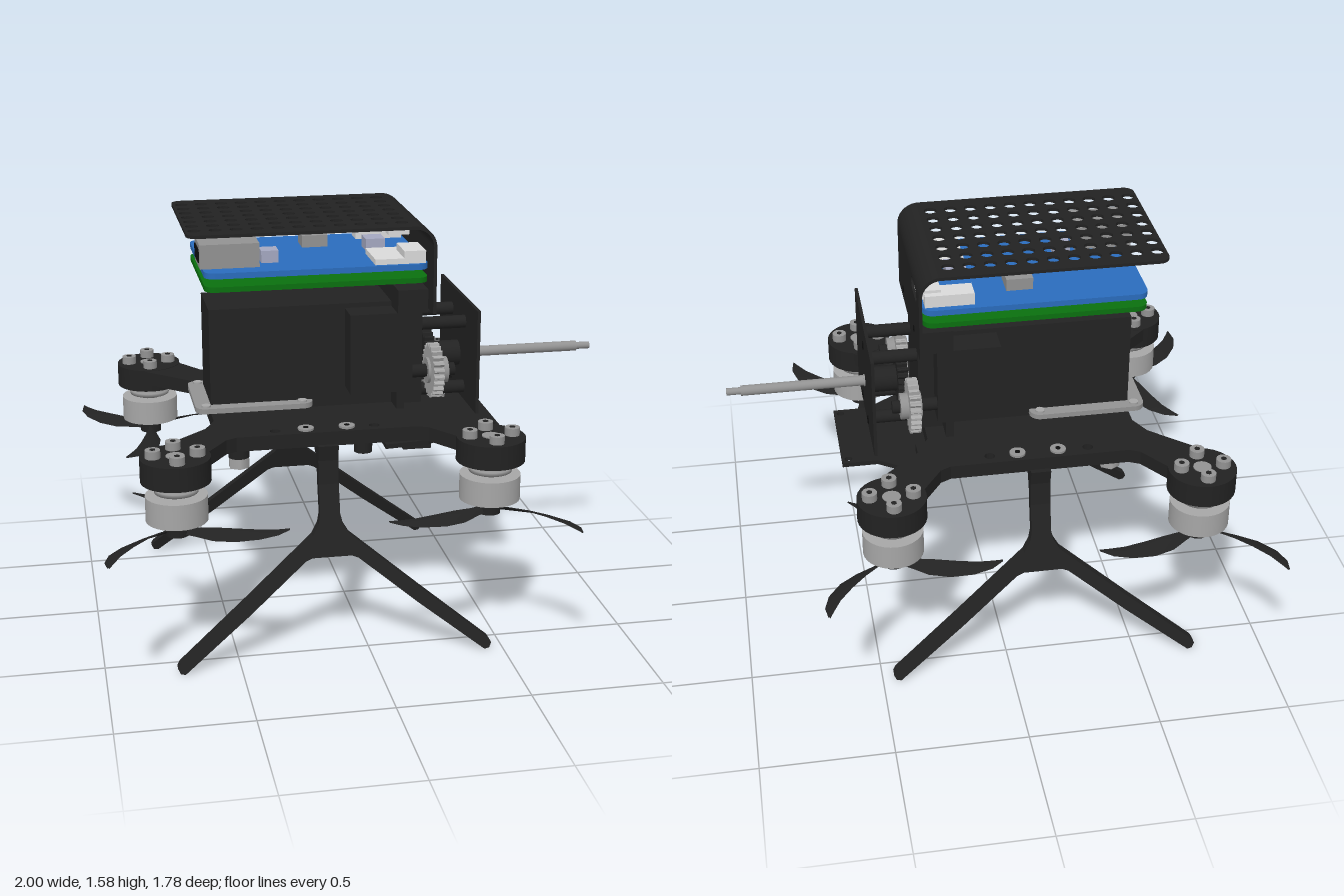
import * as THREE from 'three';

const CX = -0.14; // centre of the airframe along x

export function createModel() {
  const root = new THREE.Group();
  const mat = (name, color, side = THREE.FrontSide) => {
    const m = new THREE.MeshStandardMaterial({ color, side });
    m.name = name;
    return m;
  };
  const dark = mat('charcoal', 0x222222, THREE.DoubleSide);
  const black = mat('black', 0x0d0d0d);
  const grey = mat('grey', 0x929292);
  const silver = mat('silver', 0xa6a6a6);
  const white = mat('white', 0xdadada);
  const lavender = mat('pale violet grey', 0xa4a8c0);
  const blue = mat('blue', 0x2a6cbd);
  const green = mat('green', 0x0a700f);

  const add = (name, geo, m, x = 0, y = 0, z = 0, parent = root) => {
    const mesh = new THREE.Mesh(geo, m);
    mesh.name = name;
    mesh.position.set(x, y, z);
    parent.add(mesh);
    return mesh;
  };
  // box given by its limits on each axis
  const box = (name, m, x0, x1, y0, y1, z0, z1) =>
    add(name, new THREE.BoxGeometry(x1 - x0, y1 - y0, z1 - z0), m, (x0 + x1) / 2, (y0 + y1) / 2, (z0 + z1) / 2);
  const cylY = (name, m, r, y0, y1, x, z, parent = root, n = 24) =>
    add(name, new THREE.CylinderGeometry(r, r, y1 - y0, n), m, x, (y0 + y1) / 2, z, parent);
  const cylX = (name, m, r, x0, x1, y, z, n = 20) =>
    add(name, new THREE.CylinderGeometry(r, r, x1 - x0, n).rotateZ(Math.PI / 2), m, (x0 + x1) / 2, y, z);
  const poly = (pts) => new THREE.Shape(pts.map(([a, b]) => new THREE.Vector2(a, b)));
  const hole = (x, y, r) => new THREE.Path().absarc(x, y, r, 0, Math.PI * 2, true);
  const extrude = (shape, depth) => new THREE.ExtrudeGeometry(shape, { depth, bevelEnabled: false, curveSegments: 8 });
  // horizontal plate from an x,z outline
  const slab = (name, m, shape, top, t) => add(name, extrude(shape, t).rotateX(Math.PI / 2), m, 0, top, 0);
  const roundRect = (x0, x1, y0, y1, r) => {
    const s = new THREE.Shape();
    s.absarc(x1 - r, y1 - r, r, 0, Math.PI / 2);
    s.absarc(x0 + r, y1 - r, r, Math.PI / 2, Math.PI);
    s.absarc(x0 + r, y0 + r, r, Math.PI, Math.PI * 1.5);
    s.absarc(x1 - r, y0 + r, r, Math.PI * 1.5, Math.PI * 2);
    return s;
  };

  // airframe: one quarter outline mirrored into an X-shaped plate
  const q = [[0.34, 0.42], [0.38, 0.44], [0.47, 0.57], [0.58, 0.58], [0.66, 0.5], [0.44, 0.3], [0.4, 0.22]];
  const rev = [...q].reverse();
  const outline = [
    ...q, ...rev.map(([a, b]) => [a, -b]),
    ...q.map(([a, b]) => [-a, -b]), ...rev.map(([a, b]) => [-a, b]),
  ].map(([a, b]) => [a + CX, b]);
  const frame = poly(outline);
  for (const s of [-1, 1]) for (const x of [-0.33, 0.045]) frame.holes.push(hole(x, s * 0.375, 0.02));
  slab('framePlate', dark, frame, 0.85, 0.055);
  for (const s of [-1, 1]) for (const x of [-0.215, -0.06]) {
    cylY('frameScrew', grey, 0.03, 0.85, 0.858, x, s * 0.375);
    cylY('frameScrewSocket', black, 0.01, 0.858, 0.86, x, s * 0.375);
  }

  // propeller blade: swept, twisted strip of cross-sections
  const blade = (tip, sx, sz) => {
    const rows = [[0.02, -20, 0.03, 0.7], [0.08, -19, 0.04, 0.6], [0.15, -17, 0.066, 0.45], [0.23, -13, 0.074, 0.32],
      [0.31, -8, 0.062, 0.22], [0.37, -3, 0.042, 0.14], [0.405, 1, 0.008, 0.1]];
    const pos = [], idx = [];
    rows.forEach(([r, off, w, twist], i) => {
      const a = THREE.MathUtils.degToRad(tip + off);
      for (const [k, lift] of [[-0.5, 0], [0, 0.008], [0.5, 0]]) {
        const u = k * w * Math.cos(twist);
        pos.push(sx * (r * Math.cos(a) - u * Math.sin(a)), k * w * Math.sin(twist) + lift * (1 - r),
          sz * (r * Math.sin(a) + u * Math.cos(a)));
      }
      if (i) for (const j of [0, 1]) {
        const b = i * 3 + j, c = b - 3;
        idx.push(c, b, c + 1, c + 1, b, b + 1);
      }
    });
    const g = new THREE.BufferGeometry();
    g.setAttribute('position', new THREE.Float32BufferAttribute(pos, 3));
    g.setIndex(idx);
    g.computeVertexNormals();
    return g;
  };

  // four motors hanging under the arm ends
  for (const sx of [-1, 1]) for (const sz of [-1, 1]) {
    const g = new THREE.Group();
    g.name = 'motorUnit';
    g.position.set(CX + sx * 0.58, 0, sz * 0.58);
    root.add(g);
    cylY('motorMount', dark, 0.128, 0.762, 0.852, 0, 0, g, 32);
    cylY('mountCap', grey, 0.034, 0.85, 0.856, 0, 0, g);
    for (let i = 0; i < 4; i++) {
      const a = i * Math.PI / 2, x = 0.08 * Math.cos(a), z = 0.08 * Math.sin(a);
      cylY('mountBolt', grey, 0.028, 0.85, 0.882, x, z, g, 16);
      cylY('boltSocket', dark, 0.011, 0.882, 0.884, x, z, g, 6);
    }
    const prof = [[0, 0.765], [0.06, 0.765], [0.06, 0.735], [0.08, 0.735], [0.08, 0.72], [0.05, 0.72], [0.05, 0.7], [0, 0.7]];
    add('motorBase', new THREE.LatheGeometry(prof.reverse().map(([a, b]) => new THREE.Vector2(a, b)), 24), grey, 0, 0, 0, g);
    cylY('motorBell', silver, 0.113, 0.612, 0.708, 0, 0, g, 32);
    cylY('propellerHub', dark, 0.042, 0.553, 0.613, 0, 0, g);
    for (const tip of [-132, -12, 108]) add('propellerBlade', blade(tip, -sx, -sz), dark, 0, 0.572, 0, g);
  }

  // landing legs: forked flat shape leaned outwards, with a curved bracket on top
  const half = [[0.038, 0.65], [0.038, 0.54], [0.046, 0.505], [0.07, 0.465], [0.33, 0.25], [0.587, 0.042], [0.597, 0.025],
    [0.588, 0.006], [0.57, 0.002], [0.32, 0.195], [0.1, 0.375], [0.075, 0.385]];
  const forkPts = [...half, ...[...half].reverse().map(([a, b]) => [-a, b])];
  const bracket = [[0.44, 0.8], [0.428, 0.74], [0.437, 0.64], [0.402, 0.64], [0.393, 0.7], [0.37, 0.75], [0.33, 0.775], [0.33, 0.8]];
  for (const s of [-1, 1]) {
    const fork = extrude(poly(forkPts), 0.035);
    const p = fork.attributes.position;
    for (let i = 0; i < p.count; i++) p.setZ(i, s * (p.getZ(i) - 0.0175 + 0.594 - 0.27 * p.getY(i)));
    if (s < 0) { // restore the facing of mirrored triangles
      for (let i = 0; i < p.count; i += 3) {
        const a = new THREE.Vector3().fromBufferAttribute(p, i), b = new THREE.Vector3().fromBufferAttribute(p, i + 1);
        p.setXYZ(i, b.x, b.y, b.z);
        p.setXYZ(i + 1, a.x, a.y, a.z);
      }
    }
    fork.computeVertexNormals();
    add('landingLeg', fork, dark, CX, 0, 0);
    const br = extrude(poly(bracket.map(([z, y]) => [-s * z, y])), 0.076).rotateY(Math.PI / 2);
    add('legBracket', br, dark, CX - 0.038, 0, 0);
  }

  // battery, its tray and the side servos
  box('battery', dark, -0.54, 0.2, 0.87, 1.258, -0.13, 0.13);
  const tray = roundRect(-0.6, -0.15, -0.18, 0.18, 0.04);
  slab('batteryTray', grey, tray, 0.885, 0.02);
  box('traySpacer', dark, -0.5, 0.24, 0.845, 0.87, -0.12, 0.12);
  for (const s of [-1, 1]) {
    for (const x of [-0.56, -0.19]) cylY('trayScrew', silver, 0.018, 0.885, 0.892, x, s * 0.15, root, 12);
    const z = s * 0.185;
    box('servo', dark, -0.02, 0.22, 0.93, 1.24, z - 0.055, z + 0.055);
    box('servoFlange', dark, 0.16, 0.19, 0.86, 1.26, z - 0.05, z + 0.05);
  }
  box('mountBlock', dark, 0.18, 0.28, 0.85, 1.25, -0.14, 0.14);
  box('coverBracket', dark, 0.16, 0.275, 1.24, 1.33, -0.25, 0.25);

  // gear train and output shaft
  const gear = (z, r, x0, m) => {
    const pts = [];
    for (let i = 0; i < 96; i++) {
      const a = i / 96 * Math.PI * 2, rr = i % 4 < 2 ? r : r * 0.87;
      pts.push([rr * Math.cos(a), rr * Math.sin(a)]);
    }
    add('gear', extrude(poly(pts), 0.04).rotateY(Math.PI / 2), m, x0, 1.0, z);
  };
  for (const s of [-1, 1]) {
    gear(s * 0.21, 0.105, 0.29, silver);
    cylX('gearHub', grey, 0.05, 0.28, 0.36, 1, s * 0.21);
    cylX('gearAxle', dark, 0.025, 0.22, 0.39, 1, s * 0.21);
    cylX('plateSpacer', dark, 0.025, 0.27, 0.46, 1.155, s * 0.1);
    cylX('lowerSpacer', dark, 0.025, 0.27, 0.46, 0.89, s * 0.095);
  }
  gear(0, 0.1, 0.31, dark);
  cylX('bearing', dark, 0.05, 0.35, 0.46, 1, 0);
  cylX('bearingFace', grey, 0.024, 0.46, 0.475, 1, 0);
  cylX('outputShaft', grey, 0.02, 0.3, 0.945, 1, 0);
  cylX('shaftTip', grey, 0.014, 0.945, 1, 1, 0);
  box('endPlate', dark, 0.458, 0.47, 0.84, 1.245, -0.29, 0.29);
  for (const [z, y] of [[0, 1.155], [0.095, 0.88], [-0.095, 0.88]]) cylX('endPlateScrew', black, 0.016, 0.47, 0.474, y, z);

  // lower nose plate
  const nose = poly([[0.1, 0.33], [0.27, 0.31], [0.45, 0.19], [0.585, 0.19], [0.585, -0.19], [0.45, -0.19], [0.27, -0.31], [0.1, -0.33]]);
  for (const s of [-1, 1]) nose.holes.push(hole(0.56, s * 0.163, 0.015));
  slab('nosePlate', dark, nose, 0.752, 0.018);
  for (const s of [-1, 1]) box('noseStandoff', dark, 0.19, 0.3, 0.69, 0.8, s * 0.2 - 0.03, s * 0.2 + 0.03);

  // electronics slung under the frame
  slab('lowerTray', dark, roundRect(-0.35, 0.07, -0.23, 0.23, 0.04), 0.765, 0.025);
  box('lowerStrip', grey, -0.33, 0.05, 0.766, 0.78, -0.2, 0.2);
  box('controlStack', dark, -0.25, -0.02, 0.7, 0.8, -0.16, 0.16);
  box('cameraBody', dark, -0.48, -0.36, 0.69, 0.8, -0.1, 0.1);
  cylY('cameraLens', black, 0.055, 0.66, 0.69, -0.42, 0);
  for (const s of [-1, 1]) {
    cylY('standoff', dark, 0.04, 0.71, 0.8, -0.45, s * 0.24);
    cylY('standoffNut', silver, 0.042, 0.67, 0.71, -0.45, s * 0.24, root, 6);
    cylY('innerStandoff', dark, 0.035, 0.7, 0.8, 0.03, s * 0.24);
  }

  // stacked circuit boards and their components
  slab('upperBoard', blue, roundRect(-0.565, 0.272, -0.275, 0.275, 0.04), 1.434, 0.022);
  slab('lowerBoard', green, roundRect(-0.565, 0.272, -0.275, 0.275, 0.04), 1.382, 0.02);
  box('socketPort', grey, -0.58, -0.36, 1.445, 1.535, 0.09, 0.25);
  box('socketOpening', black, -0.584, -0.58, 1.465, 1.515, 0.11, 0.23);
  box('chip', lavender, -0.34, -0.275, 1.434, 1.48, 0.08, 0.15);
  box('chip', grey, -0.15, -0.05, 1.434, 1.48, -0.17, -0.07);
  box('connector', lavender, 0.08, 0.155, 1.434, 1.48, -0.05, 0.03);
  box('connector', white, 0.07, 0.26, 1.434, 1.455, 0.07, 0.26);
  box('connector', white, 0.18, 0.262, 1.434, 1.482, 0.12, 0.26);
  box('connector', white, 0.08, 0.262, 1.434, 1.48, -0.25, -0.17);
  box('powerPort', white, 0.2, 0.284, 1.457, 1.491, -0.225, -0.115);
  box('lowerChip', lavender, -0.345, -0.08, 1.334, 1.362, -0.12, 0.14);
  box('lowerChip', dark, -0.55, -0.37, 1.348, 1.362, -0.12, 0.12);
  box('lowerChip', grey, 0.0, 0.15, 1.34, 1.362, -0.13, 0.05);

  // perforated cover: top sheet, bend and end wall with a port slot
  const sheet = new THREE.Shape();
  sheet.moveTo(0.21, -0.31);
  sheet.lineTo(0.21, 0.31);
  sheet.absarc(-0.59, 0.27, 0.04, Math.PI / 2, Math.PI);
  sheet.absarc(-0.59, -0.27, 0.04, Math.PI, Math.PI * 1.5);
  for (let i = 0; i < 11; i++) for (let j = -3; j <= 3; j++) sheet.holes.push(hole(-0.596 + i * 0.077, j * 0.077, 0.024));
  slab('coverTop', dark, sheet, 1.585, 0.012);
  const bend = new THREE.Shape();
  bend.absarc(0.21, 1.503, 0.082, 0, Math.PI / 2, false);
  bend.absarc(0.21, 1.503, 0.07, Math.PI / 2, 0, true);
  add('coverBend', extrude(bend, 0.62), dark, 0, 0, -0.31);
  const wall = poly([[-0.31, 1.25], [0.31, 1.25], [0.31, 1.503], [-0.31, 1.503]]);
  wall.holes.push(roundRect(0.098, 0.242, 1.449, 1.499, 0.024));
  add('coverWall', extrude(wall, 0.012).rotateY(Math.PI / 2), dark, 0.28, 0, 0);
  for (const s of [-1, 1]) cylX('coverScrew', black, 0.012, 0.29, 0.295, 1.3, s * 0.155);

  return root;
}
